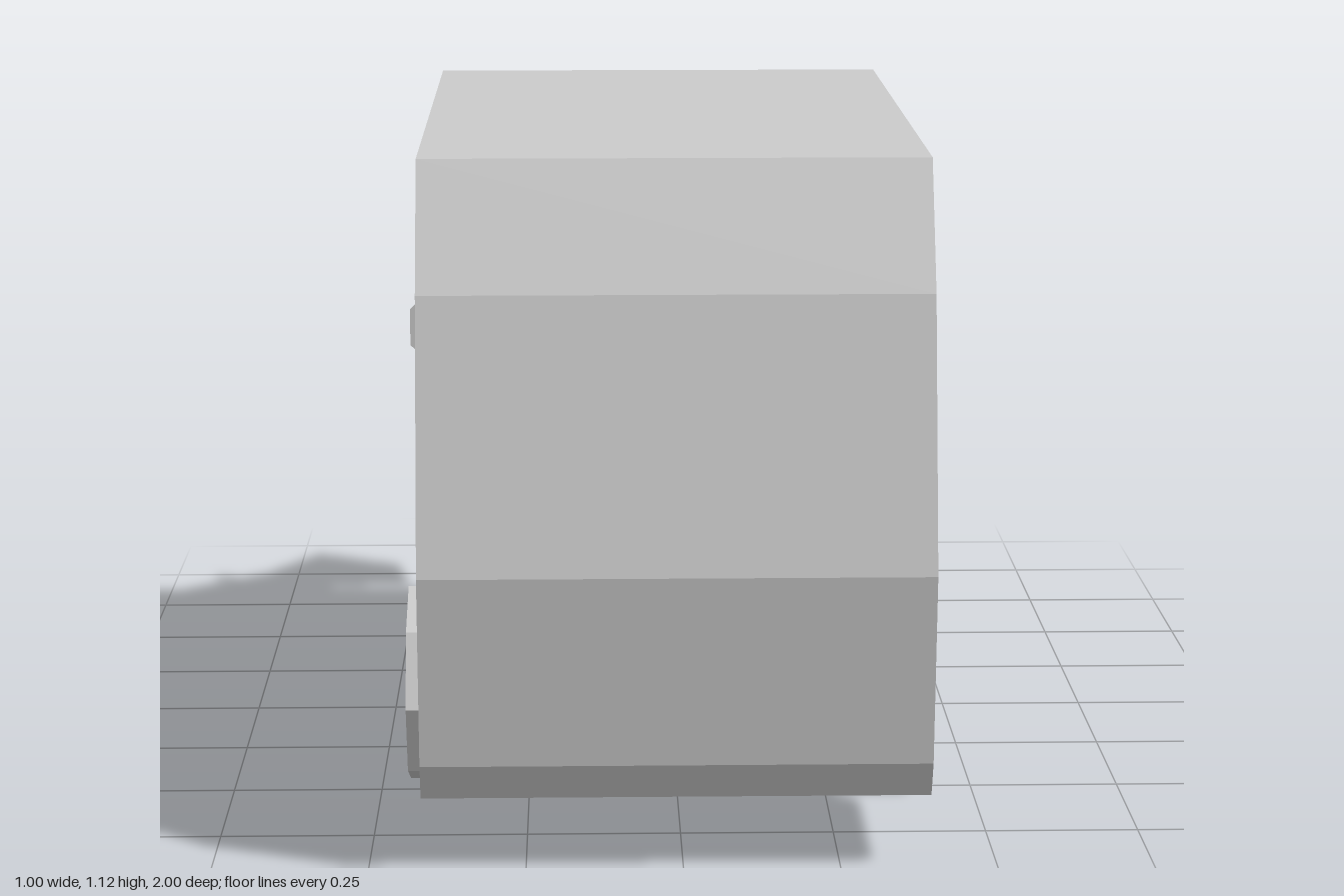
import * as THREE from 'three';

const grey = new THREE.MeshStandardMaterial({ color: 0xcccccc, flatShading: true, side: THREE.DoubleSide });

const LEFT = 0.392, RIGHT = -0.415; // the two body sides

// Upper outline of the body as [z, y], from the open rear over the roof and down the nose
const skinLine = [
  [-0.405, 1.125], [0.81, 1.125], [0.905, 0.925], [1.0, 0.497], [0.968, 0.187], [0.94, 0.127],
];
// Rest of the side outline: sill, wheel arches, tail and sloping rear edge
const sillLine = [
  [0.63, 0.127], [0.583, 0.35], [0.33, 0.362], [0.22, 0.133],
  [-0.43, 0.139], [-0.457, 0.342], [-0.75, 0.36], [-0.855, 0.143],
  [-1, 0.187], [-1, 0.422], [-0.78, 0.556], [-0.405, 0.923],
];

function addMesh(parent, name, geometry) {
  const mesh = new THREE.Mesh(geometry, grey);
  mesh.name = name;
  parent.add(mesh);
  return mesh;
}

function shapeOf(points) {
  return new THREE.Shape(points.map(([x, y]) => new THREE.Vector2(x, y)));
}

// Bent sheet running across the body along the upper outline
function skinGeometry() {
  const pos = [];
  for (let i = 0; i < skinLine.length - 1; i++) {
    const [z0, y0] = skinLine[i], [z1, y1] = skinLine[i + 1];
    const a = [RIGHT, y0, z0], b = [RIGHT, y1, z1], c = [LEFT, y1, z1], d = [LEFT, y0, z0];
    pos.push(...a, ...b, ...c, ...a, ...c, ...d);
  }
  const geometry = new THREE.BufferGeometry();
  geometry.setAttribute('position', new THREE.Float32BufferAttribute(pos, 3));
  geometry.computeVertexNormals();
  return geometry;
}

// Eight-sided wheel: outer disc plus a tread that covers the front and top only
function makeWheel(name, side, outerX, z) {
  const radius = 0.17, width = 0.113;
  const wheel = new THREE.Group();
  wheel.name = name;
  const tread = new THREE.CylinderGeometry(radius, radius, width, 5, 1, true, -Math.PI / 2, Math.PI * 1.25);
  tread.rotateZ(Math.PI / 2);
  addMesh(wheel, 'tread', tread).position.x = -side * width / 2;
  addMesh(wheel, 'disc', new THREE.CircleGeometry(radius, 8).rotateY(side * Math.PI / 2));
  wheel.position.set(outerX, 0.175, z);
  return wheel;
}

// Flat wing mirror with clipped corners on a short slanted arm
function makeMirror(name, side, bodyX) {
  const mirror = new THREE.Group();
  mirror.name = name;
  const x0 = 0.428, x1 = 0.498, y0 = 0.533, y1 = 0.625, c = 0.01;
  const plate = [
    [x0 + c, y0], [x1 - c, y0], [x1, y0 + c], [x1, y1 - c],
    [x1 - c, y1], [x0 + c, y1], [x0, y1 - c], [x0, y0 + c],
  ].map(([x, y]) => [side * x, y]);
  const arm = [
    [bodyX, 0.522], [side * 0.43, 0.554], [side * 0.43, 0.583], [bodyX, side > 0 ? 0.56 : 0.57],
  ];
  addMesh(mirror, 'mirrorPlate', new THREE.ShapeGeometry(shapeOf(plate)));
  addMesh(mirror, 'mirrorArm', new THREE.ShapeGeometry(shapeOf(arm)));
  mirror.position.z = -0.72;
  return mirror;
}

export function createModel() {
  const van = new THREE.Group();
  van.name = 'van';

  addMesh(van, 'roofAndFront', skinGeometry());

  for (const side of [1, -1]) {
    const label = side > 0 ? 'left' : 'right';
    const bodyX = side > 0 ? LEFT : RIGHT;
    const wheelX = side > 0 ? 0.42 : -0.453;

    const panel = new THREE.ShapeGeometry(shapeOf([...skinLine, ...sillLine]));
    panel.rotateY(-Math.PI / 2);
    addMesh(van, label + 'SidePanel', panel).position.x = bodyX;

    van.add(makeWheel(label + 'FrontWheel', side, wheelX, 0.438));
    van.add(makeWheel(label + 'RearWheel', side, wheelX, -0.63));
    van.add(makeMirror(label + 'Mirror', side, bodyX));
  }
  return van;
}
